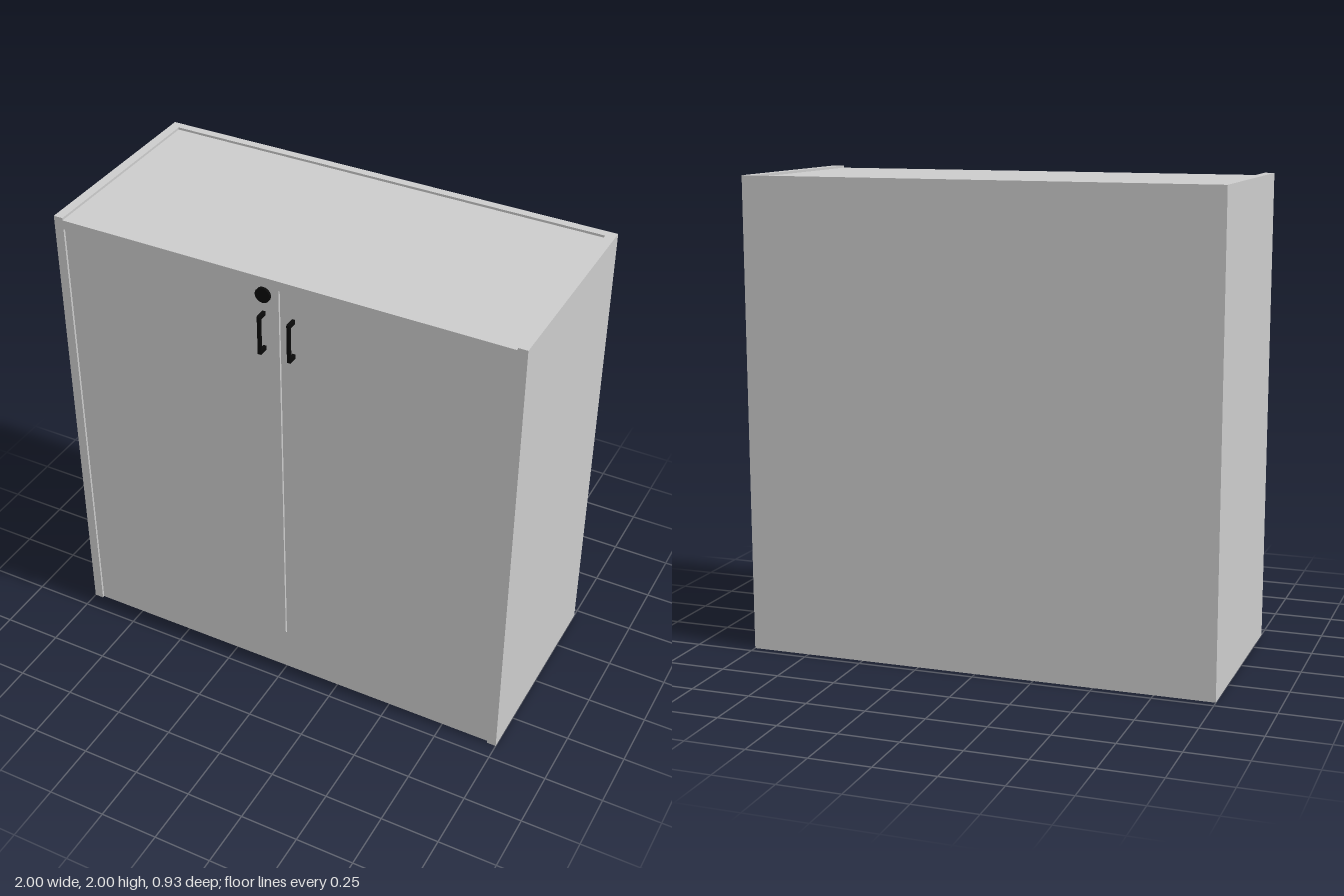
import * as THREE from 'three';

const grey = new THREE.MeshStandardMaterial({ color: 0xcccccc });
const black = new THREE.MeshStandardMaterial({ color: 0x0a0a0a });

// Box given by its extents on each axis
function board(name, [x0, x1], [y0, y1], [z0, z1]) {
  const mesh = new THREE.Mesh(new THREE.BoxGeometry(x1 - x0, y1 - y0, z1 - z0), grey);
  mesh.position.set((x0 + x1) / 2, (y0 + y1) / 2, (z0 + z1) / 2);
  mesh.name = name;
  return mesh;
}

export function createModel() {
  const group = new THREE.Group();
  group.name = 'cabinet';

  const inner = 0.96, back = -0.465, front = 0.43;
  const doorBack = 0.39, doorFront = 0.42;
  const across = [-inner, inner];
  const backInside = back + 0.035;

  // Carcass: back panel, top, floor and plinth between two full-height sides
  group.add(
    board('leftSide', [inner, 1], [0, 2], [back, front]),
    board('rightSide', [-1, -inner], [0, 2], [back, front]),
    board('backPanel', across, [0, 2], [back, backInside]),
    board('topPanel', across, [1.95, 1.99], [backInside, front]),
    board('floorPanel', across, [0.2, 0.24], [backInside, doorBack]),
    board('plinth', across, [0, 0.2], [doorBack, doorFront]),
  );

  // Inner shelves
  for (const y of [0.84, 1.36]) {
    group.add(board('shelf', across, [y, y + 0.04], [backInside, doorBack]));
  }

  // Doors with a narrow gap between them
  const gap = 0.003;
  group.add(
    board('leftDoor', [gap, inner], [0.2, 1.95], [doorBack, doorFront]),
    board('rightDoor', [-inner, -gap], [0.2, 1.95], [doorBack, doorFront]),
  );

  // Bracket handles: a C-shaped profile, seen from the side, extruded across x
  const reach = 0.465 - doorFront, half = 0.0875, leg = 0.018, bar = 0.012, width = 0.013;
  const profile = new THREE.Shape([
    [0, -half], [reach - 0.004, -half], [reach, -half + 0.004],
    [reach, half - 0.004], [reach - 0.004, half], [0, half],
    [0, half - leg], [reach - bar, half - leg],
    [reach - bar, -half + leg], [0, -half + leg],
  ].map(([z, y]) => new THREE.Vector2(z, y)));
  const handleGeometry = new THREE.ExtrudeGeometry(profile, { depth: width, bevelEnabled: false })
    .translate(0, 0, -width / 2)
    .rotateY(-Math.PI / 2);
  for (const [name, x] of [['leftHandle', 0.06], ['rightHandle', -0.067]]) {
    const handle = new THREE.Mesh(handleGeometry, black);
    handle.position.set(x, 1.748, doorFront);
    handle.name = name;
    group.add(handle);
  }

  // Round lock on the right door
  const lock = new THREE.Mesh(new THREE.CylinderGeometry(0.032, 0.032, 0.012, 32), black);
  lock.rotation.x = Math.PI / 2;
  lock.position.set(-0.067, 1.91, doorFront + 0.005);
  lock.name = 'lock';
  group.add(lock);

  return group;
}
